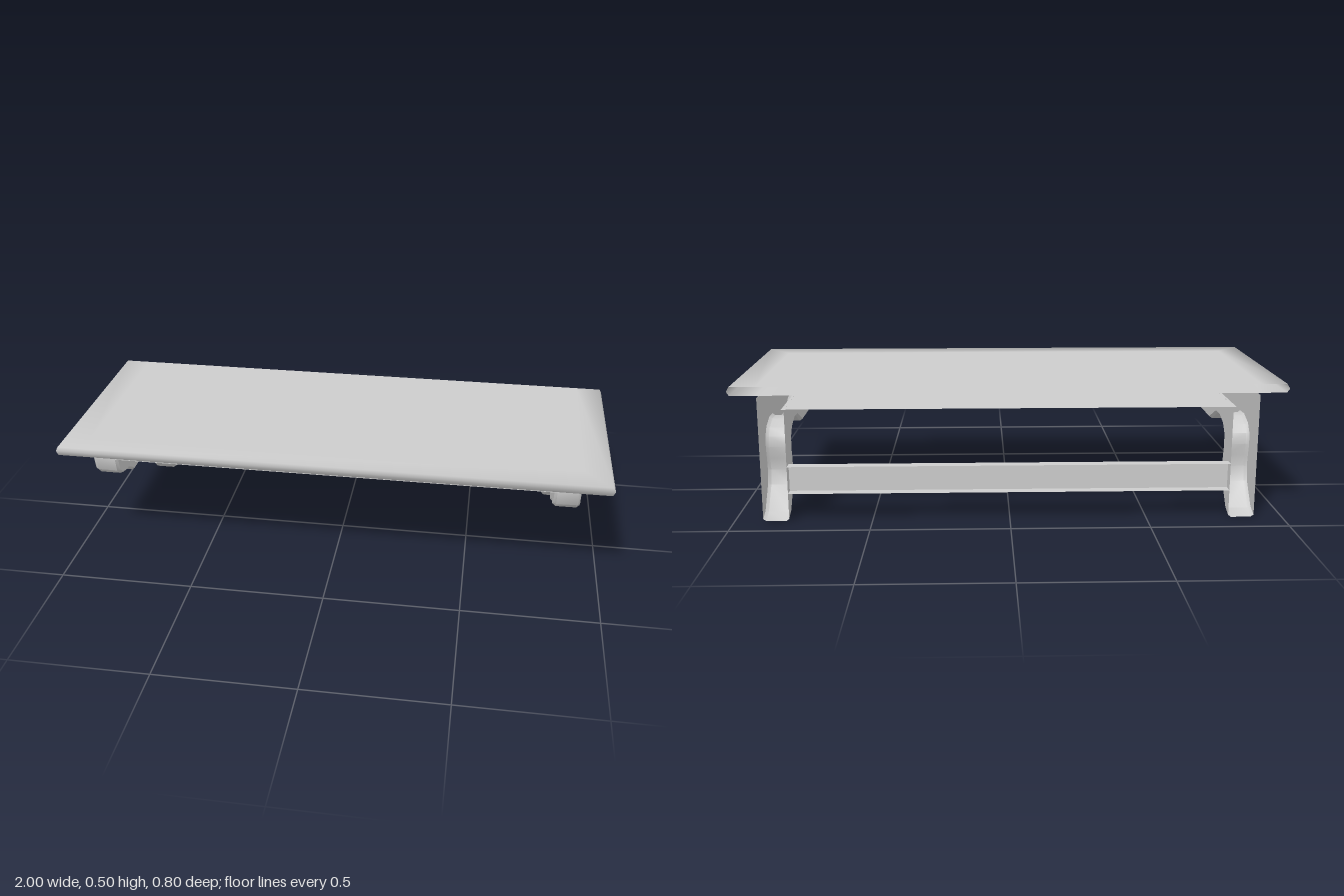
import * as THREE from 'three';
import { toCreasedNormals } from 'three/addons/utils/BufferGeometryUtils.js';

const TOP = 0.498, UNDER = 0.466, SLAB = 0.415, BACK = -0.393;

// Bracket side profile (z, y): from the foot, along the scrolled edge, to the slab front
const SCROLL = [
  [BACK, 0], [-0.34, 0.018], [-0.268, 0.1], [-0.254, 0.155], [-0.26, 0.2],
  [-0.27, 0.245], [-0.265, 0.285], [-0.24, 0.313], [-0.18, 0.333], [-0.12, 0.331],
  [-0.012, 0.283], [0.155, 0.283], [0.185, 0.305], [0.215, 0.32], [0.25, 0.325],
  [0.28, 0.338], [0.306, 0.363], [0.317, SLAB],
];
const NOSE = [[0.315, 0.453], [0.303, UNDER]];

// Shelf board: U-shaped rings round the left, front and right edges, open at the wall side
function boardGeometry() {
  // side inset, front inset, height, back z, upward tilt of the normal
  const rings = [
    [0.1, 0.1, TOP, BACK, 1],
    [0.008, 0, TOP, BACK, 0.6],
    [0, 0, (TOP + UNDER) / 2, -0.4, 0],
    [0.008, 0, UNDER, BACK, -0.6],
    [0.1, 0.1, UNDER, BACK, -1],
  ];
  const pos = [], nor = [], idx = [];
  for (const [s, f, y, back, tilt] of rings) {
    const flat = Math.sqrt(1 - tilt * tilt);
    const path = [[-1, back, 0], [-1, 0.4 - f, 1], [1, 0.4 - f, 1], [1, back, 0]];
    for (const [side, z, front] of path) {
      const d = new THREE.Vector3(side, 0, front).normalize().multiplyScalar(flat);
      pos.push(side * (1 - s), y, z);
      nor.push(d.x, tilt, d.z);
    }
  }
  for (let r = 0; r < rings.length - 1; r++) {
    for (let i = 0; i < 3; i++) {
      const a = r * 4 + i, c = a + 4;
      idx.push(a, c, a + 1, c, c + 1, a + 1);
    }
  }
  idx.push(0, 1, 2, 0, 2, 3, 16, 18, 17, 16, 19, 18);
  const g = new THREE.BufferGeometry();
  g.setAttribute('position', new THREE.Float32BufferAttribute(pos, 3));
  g.setAttribute('normal', new THREE.Float32BufferAttribute(nor, 3));
  g.setIndex(idx);
  return g;
}

// Faces between profile a at x = xa and profile b at the smaller x = xb
function strip(pos, a, xa, b, xb) {
  for (let i = 0; i < a.length - 1; i++) {
    const p0 = [xa, a[i][1], a[i][0]], p1 = [xa, a[i + 1][1], a[i + 1][0]];
    const q0 = [xb, b[i][1], b[i][0]], q1 = [xb, b[i + 1][1], b[i + 1][0]];
    pos.push(...p0, ...p1, ...q0, ...p1, ...q1, ...q0);
  }
}

// Flat side wall at x, facing +x or -x
function wall(pos, points, x, facing) {
  const contour = points.map(([z, y]) => new THREE.Vector2(z, y));
  for (const tri of THREE.ShapeUtils.triangulateShape(contour, [])) {
    for (const i of facing > 0 ? tri.reverse() : tri) pos.push(x, points[i][1], points[i][0]);
  }
}

// Profile moved inwards by d, keeping points at the wall on the wall
function inset(points, d) {
  return points.map(([z, y], i) => {
    const a = points[Math.max(i - 1, 0)], b = points[Math.min(i + 1, points.length - 1)];
    const dz = b[0] - a[0], dy = b[1] - a[1], len = Math.hypot(dz, dy);
    return [z === BACK ? z : z - (dy / len) * d, y + (dz / len) * d];
  });
}

function shell(pos) {
  const g = new THREE.BufferGeometry();
  g.setAttribute('position', new THREE.Float32BufferAttribute(pos, 3));
  return toCreasedNormals(g, 0.65);
}

// Hollow bracket with bevelled side edges, open at the wall
function bracketGeometry() {
  const pos = [];
  const full = [...SCROLL, ...NOSE, [BACK, UNDER]];
  const outer = inset(full, 0.008), inner = inset(SCROLL, 0.008);
  wall(pos, outer, 0.897, 1);
  strip(pos, outer, 0.897, full, 0.886);
  strip(pos, full, 0.886, full, 0.813);
  strip(pos, SCROLL, 0.813, inner, 0.803);
  wall(pos, [...inner, [BACK, SLAB]], 0.803, -1);
  return shell(pos);
}

// Hollow beam across the shelf with the given open profile
function beamGeometry(profile, halfWidth) {
  const pos = [];
  strip(pos, profile, halfWidth, profile, -halfWidth);
  return shell(pos);
}

export function createModel() {
  const model = new THREE.Group();
  model.name = 'wallShelf';
  const grey = new THREE.MeshStandardMaterial({ color: 0xcccccc, side: THREE.DoubleSide });
  grey.name = 'plain grey';

  const part = (name, geometry) => {
    const mesh = new THREE.Mesh(geometry, grey);
    mesh.name = name;
    model.add(mesh);
    return mesh;
  };

  part('shelfBoard', boardGeometry());

  // Pair of mirrored brackets
  const bracket = bracketGeometry();
  part('leftBracket', bracket);
  part('rightBracket', bracket).scale.x = -1;

  // Full-depth slab under the board, joining the brackets
  part('underSlab', beamGeometry([[BACK, SLAB], [0.317, SLAB], ...NOSE], 0.813));

  // Rail between the bracket legs
  const railFront = BACK + 0.04;
  part('lowerRail', beamGeometry(
    [[BACK, 0.102], [railFront, 0.102], [railFront, 0.203], [BACK, 0.203]], 0.803));

  return model;
}
